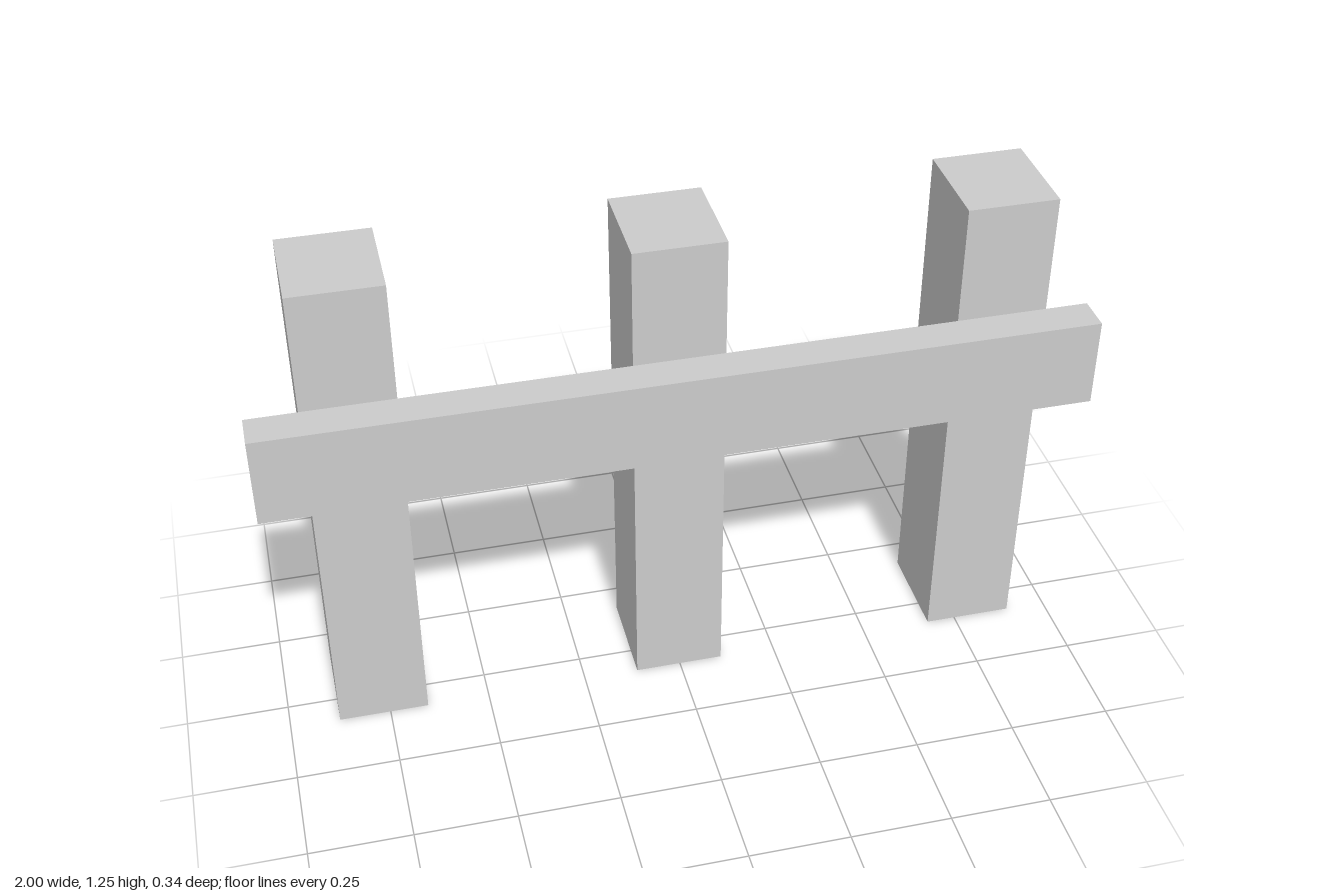
import * as THREE from 'three';

const material = new THREE.MeshStandardMaterial({ color: 0xcccccc, flatShading: true });

function addBox(group, name, size, position) {
  const mesh = new THREE.Mesh(new THREE.BoxGeometry(...size), material);
  mesh.name = name;
  mesh.position.set(...position);
  group.add(mesh);
}

export function createModel() {
  const group = new THREE.Group();
  group.name = 'fence';

  // Three upright posts, slightly unevenly spaced
  const postHeight = 1.255;
  const posts = { rightPost: -0.766, middlePost: -0.002, leftPost: 0.787 };
  for (const [name, x] of Object.entries(posts)) {
    addBox(group, name, [0.222, postHeight, 0.248], [x, postHeight / 2, -0.048]);
  }

  // Horizontal rail just in front of the posts
  addBox(group, 'rail', [2, 0.225, 0.091], [0, 0.846, 0.127]);

  return group;
}
